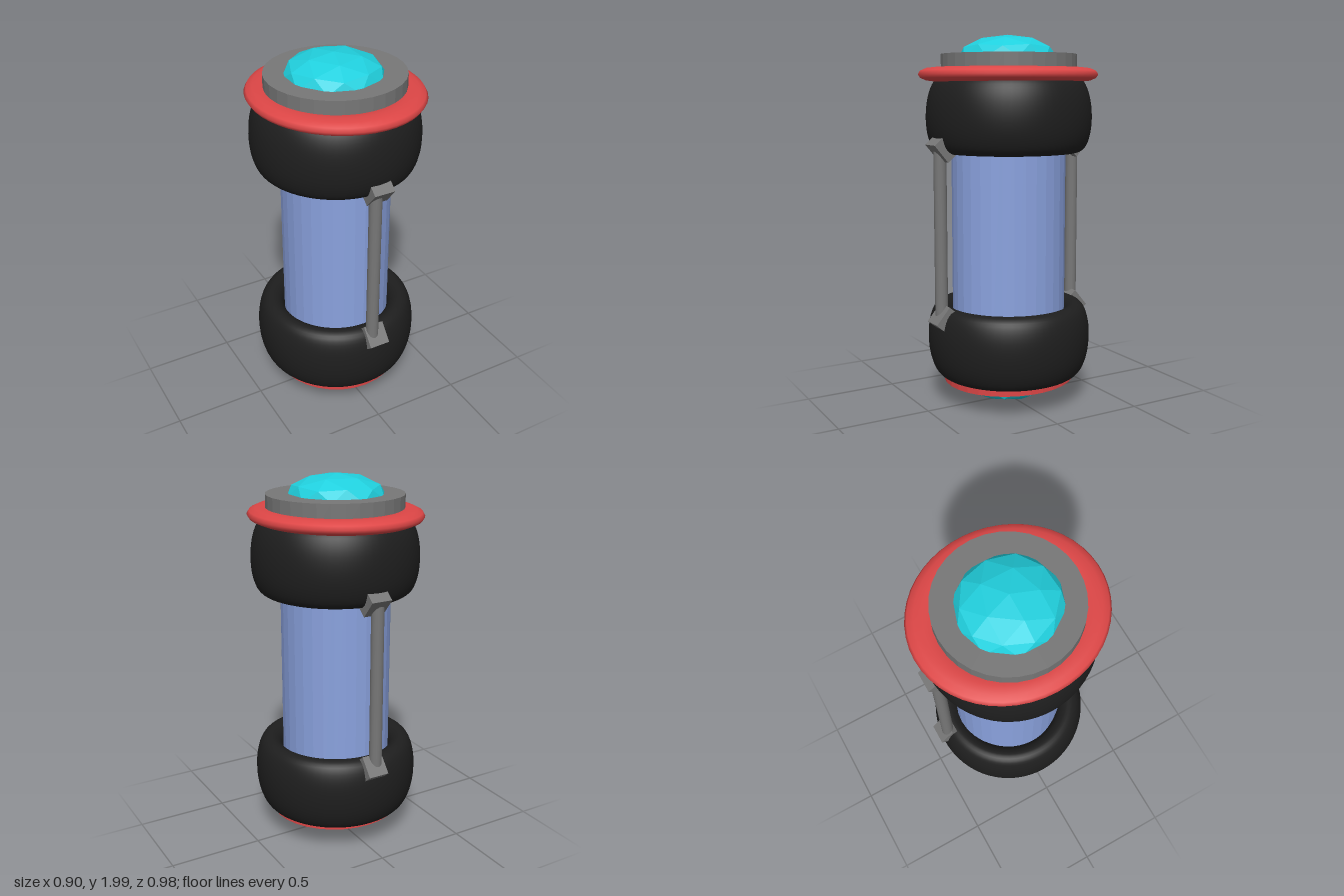
import * as THREE from 'three';

const mat = (color, flatShading = false) => new THREE.MeshStandardMaterial({ color, flatShading });

export function createModel() {
  const group = new THREE.Group();
  const red = mat(0xdd4646), redFlat = mat(0xdd4646, true);
  const grey = mat(0x777777, true), black = mat(0x1e1e1e);
  const blue = mat(0x8aa2de, true), cyan = mat(0x20d0de, true);

  const add = (name, geometry, material, x, y, z, parent = group) => {
    const mesh = new THREE.Mesh(geometry, material);
    mesh.name = name;
    mesh.position.set(x, y, z);
    parent.add(mesh);
    return mesh;
  };

  // Slightly oval central tube
  const tube = add('tube', new THREE.CylinderGeometry(1, 1, 1.5, 32), blue, 0, 0.96, 0);
  tube.scale.set(0.288, 1, 0.315);

  // Bulging end collars: rounded ring section turned around the axis
  const profile = new THREE.SplineCurve([
    [0.29, -0.1], [0.31, -0.17], [0.355, -0.2], [0.4, -0.175], [0.432, -0.1], [0.445, 0],
    [0.438, 0.1], [0.41, 0.175], [0.36, 0.2], [0.31, 0.17], [0.29, 0.1], [0.285, 0], [0.29, -0.1],
  ].map(([r, y]) => new THREE.Vector2(r, y))).getPoints(48);
  const collarGeo = new THREE.LatheGeometry(profile, 64);
  add('lowerCollar', collarGeo, black, 0, 0.355, 0);
  add('upperCollar', collarGeo, black, 0, 1.58, 0).rotation.x = Math.PI;

  // Flattened oval ring and disc on the top
  const ringGeo = new THREE.TorusGeometry(0.4, 0.09, 12, 48).rotateX(Math.PI / 2);
  add('topRing', ringGeo, red, 0, 1.792, 0).scale.set(0.92, 0.42, 1);
  add('topDisc', new THREE.CylinderGeometry(0.362, 0.362, 0.13, 32), grey, 0, 1.833, 0);

  // Faceted gem with a vertex at each pole
  const gemGeo = new THREE.IcosahedronGeometry(1, 1).rotateZ(Math.atan(2 / (1 + Math.sqrt(5))));
  add('topGem', gemGeo, cyan, -0.008, 1.88, 0).scale.set(0.262, 0.12, 0.268);

  // Bottom cap, tilted a touch
  const base = new THREE.Group();
  base.name = 'bottomCap';
  base.position.y = 0.13;
  base.rotation.x = 0.026;
  group.add(base);
  add('bottomDisc', new THREE.CylinderGeometry(0.36, 0.36, 0.05, 32), redFlat, 0, 0.025, 0, base);
  add('bottomGem', gemGeo, cyan, 0, 0, 0, base).scale.set(0.262, 0.124, 0.268);

  // Rods with tilted brackets, front and back
  const rodGeo = new THREE.CylinderGeometry(0.034, 0.034, 0.9, 16);
  const bracketGeo = new THREE.BoxGeometry(0.115, 0.074, 0.117);
  for (const side of [1, -1]) {
    const name = side > 0 ? 'front' : 'back';
    add(name + 'Rod', rodGeo, mat(0x777777), -0.003, 0.96, side * 0.411);
    for (const end of [1, -1]) {
      const b = add(name + (end > 0 ? 'Upper' : 'Lower') + 'Bracket', bracketGeo, grey,
        0.012, 0.96 + end * 0.45, side * 0.408);
      b.rotation.x = -side * end * 0.87;
    }
  }
  return group;
}
